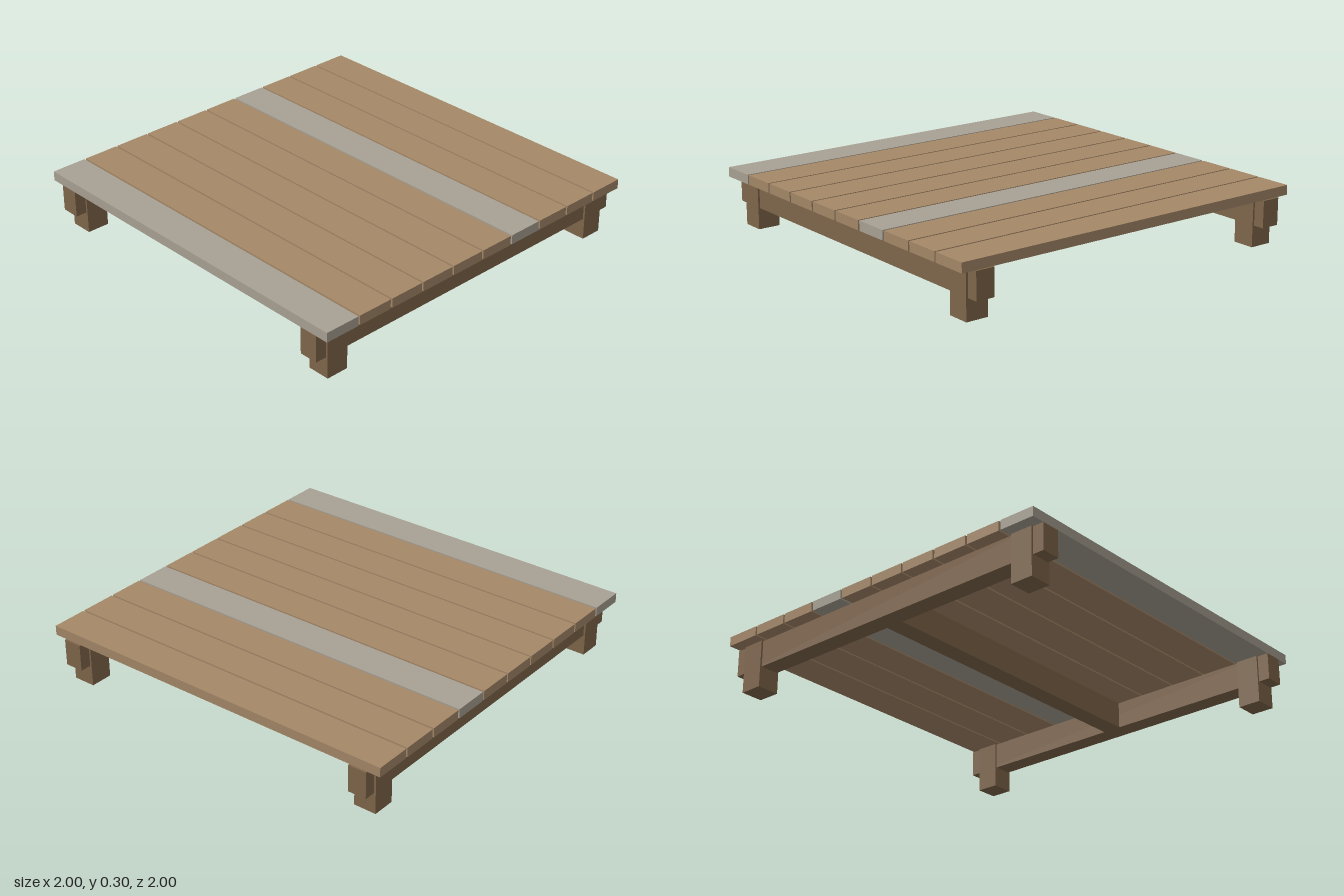
import * as THREE from 'three';

export function createModel() {
  const group = new THREE.Group();
  group.name = 'deckPlatform';

  const material = (name, color) => {
    const m = new THREE.MeshStandardMaterial({ color });
    m.name = name;
    return m;
  };
  const plankWood = material('plankWood', 0xa58868);
  const weatheredWood = material('weatheredWood', 0xa8a194);
  const frameWood = material('frameWood', 0x80664b);

  const addBox = (name, mat, size, position) => {
    const mesh = new THREE.Mesh(new THREE.BoxGeometry(...size), mat);
    mesh.name = name;
    mesh.position.set(...position);
    group.add(mesh);
  };

  // Deck planks, two of them weathered; each leaves a narrow gap on its left
  const pitch = 0.2, width = 0.19;
  for (let i = 0; i < 10; i++) {
    const weathered = i === 0 || i === 6;
    addBox(weathered ? 'weatheredPlank' : 'plank', weathered ? weatheredWood : plankWood,
      [width, 0.05, 2], [-1 + i * pitch + width / 2, 0.275, 0]);
  }

  // Front and back beams with a post near each end
  for (const z of [0.88, -0.88]) {
    addBox(z > 0 ? 'frontBeam' : 'backBeam', frameWood, [2, 0.14, 0.1], [0, 0.18, z]);
    for (const x of [0.88, -0.88]) {
      addBox(z > 0 ? 'frontPost' : 'backPost', frameWood, [0.12, 0.25, 0.12], [x, 0.125, z]);
    }
  }

  // Centre joist between the beams
  addBox('centreJoist', frameWood, [0.1, 0.14, 1.66], [0, 0.18, 0]);

  return group;
}
